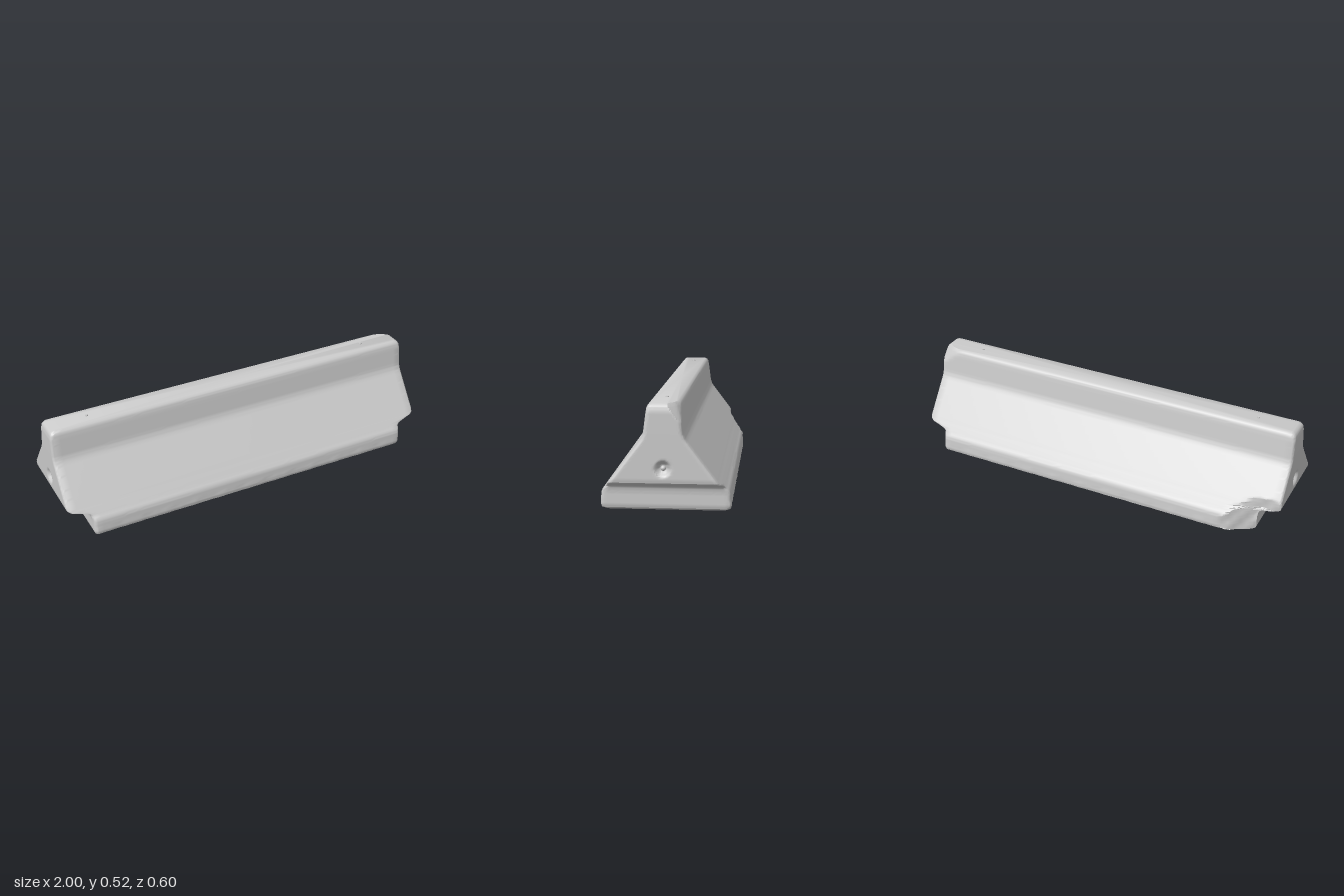
import * as THREE from 'three';
import { toCreasedNormals } from 'three/addons/utils/BufferGeometryUtils.js';

const TILT = 0.007; // the whole block rises slightly toward +x

// height, half depth, half length
const PROFILE = [
  [0.006, 0.275, 0.865], [0.016, 0.294, 0.88], [0.03, 0.298, 0.884],
  [0.085, 0.294, 0.884], [0.1, 0.288, 0.886], [0.115, 0.275, 0.89],
  [0.126, 0.267, 0.905], [0.138, 0.258, 0.95], [0.146, 0.252, 0.985],
  [0.155, 0.245, 0.997], [0.17, 0.234, 1], [0.34, 0.105, 1],
  [0.355, 0.096, 1], [0.375, 0.089, 1], [0.47, 0.077, 0.999],
  [0.492, 0.073, 0.995], [0.503, 0.067, 0.988], [0.51, 0.056, 0.975],
];

// Subdivide the profile into closely spaced rows
function makeRows(step) {
  const rows = [PROFILE[0]];
  for (let i = 1; i < PROFILE.length; i++) {
    const a = PROFILE[i - 1], b = PROFILE[i];
    const n = Math.ceil((b[0] - a[0]) / step);
    for (let k = 1; k <= n; k++) rows.push(a.map((v, c) => v + (b[c] - v) * k / n));
  }
  return rows;
}

// Rounded rectangle in plan, counter-clockwise from above
function planLoop(w, l, r) {
  const pts = [];
  const corners = [[1, -1], [-1, -1], [-1, 1], [1, 1]];
  corners.forEach(([sx, sz], k) => {
    const [px, pz] = corners[(k + 3) % 4];
    const n = k % 2 === 0 ? 40 : 64;
    for (let i = 0; i < n; i++) {
      const t = i / n;
      pts.push([(px + (sx - px) * t) * (l - r) + (k === 0 ? r : k === 2 ? -r : 0),
        (pz + (sz - pz) * t) * (w - r) + (k === 1 ? -r : k === 3 ? r : 0)]);
    }
    for (let i = 0; i < 4; i++) {
      const a = (k + i / 4) * Math.PI / 2;
      pts.push([sx * (l - r) + r * Math.cos(a), sz * (w - r) - r * Math.sin(a)]);
    }
  });
  return pts;
}

// Wear: end sockets, broken corners and faint unevenness
function weather(x, y, z) {
  const d = Math.hypot(y - 0.22, z);
  if (Math.abs(x) > 0.9 && d < 0.045) {
    x -= Math.sign(x) * 0.028 * (1 - THREE.MathUtils.smoothstep(d, 0.012, 0.042));
  }
  // broken lower back corner at the -x end
  const limit = -0.21 - 0.09 * THREE.MathUtils.smoothstep(x, -0.9, -0.69);
  if (x < -0.69 && z < limit) z = limit + 0.003 * Math.sin(x * 70 + y * 60);
  // chipped upper back corner at the +x end
  const over = (x - 0.98) * 0.5 - (z + 0.05) + (y - 0.47) * 0.8;
  if (x > 0.85 && z < 0 && y > 0.38 && over > 0) {
    x -= Math.min(over, 0.05) * 0.9;
    z += Math.min(over, 0.05) * 0.3;
  }
  // ragged bottom edge
  if (y < 0.05) z += 0.0015 * Math.sin(x * 23) * Math.sin(x * 61 + 1);
  return [x, y + TILT * x, z];
}

function bodyGeometry() {
  const rows = makeRows(0.008);
  const pos = [], index = [];
  let n = 0;
  rows.forEach(([y, w, l]) => {
    const loop = planLoop(w, l, 0.018);
    n = loop.length;
    loop.forEach(([x, z]) => pos.push(...weather(x, y, z)));
  });
  for (let i = 0; i < rows.length - 1; i++) {
    for (let j = 0; j < n; j++) {
      const a = i * n + j, b = i * n + (j + 1) % n;
      index.push(a, b, b + n, a, b + n, a + n);
    }
  }
  // underside and top caps
  const last = (rows.length - 1) * n, bottom = rows.length * n;
  pos.push(0, rows[0][0], 0, 0, rows[rows.length - 1][0] + 0.001, 0);
  for (let j = 0; j < n; j++) {
    const k = (j + 1) % n;
    index.push(bottom, k, j, bottom + 1, last + j, last + k);
  }
  const g = new THREE.BufferGeometry();
  g.setAttribute('position', new THREE.Float32BufferAttribute(pos, 3));
  g.setIndex(index);
  return toCreasedNormals(g, 0.7);
}

export function createModel() {
  const group = new THREE.Group();
  const material = new THREE.MeshStandardMaterial({ color: 0xcccccc });
  const add = (name, geometry, x, y, z) => {
    const mesh = new THREE.Mesh(geometry, material);
    mesh.name = name;
    mesh.position.set(x, y, z);
    group.add(mesh);
  };

  add('barrierBody', bodyGeometry(), 0, 0, 0);

  for (const s of [-1, 1]) {
    const side = s > 0 ? 'left' : 'right';
    // stud sitting in each end socket
    add(side + 'EndStud', new THREE.SphereGeometry(0.012, 16, 12), s * 0.977, 0.22 + TILT * s, 0);
    // small lifting pin on the crest
    add(side + 'TopPin', new THREE.CylinderGeometry(0.007, 0.009, 0.014, 12), s * 0.785, 0.509 + TILT * s * 0.785, 0);
  }
  return group;
}
